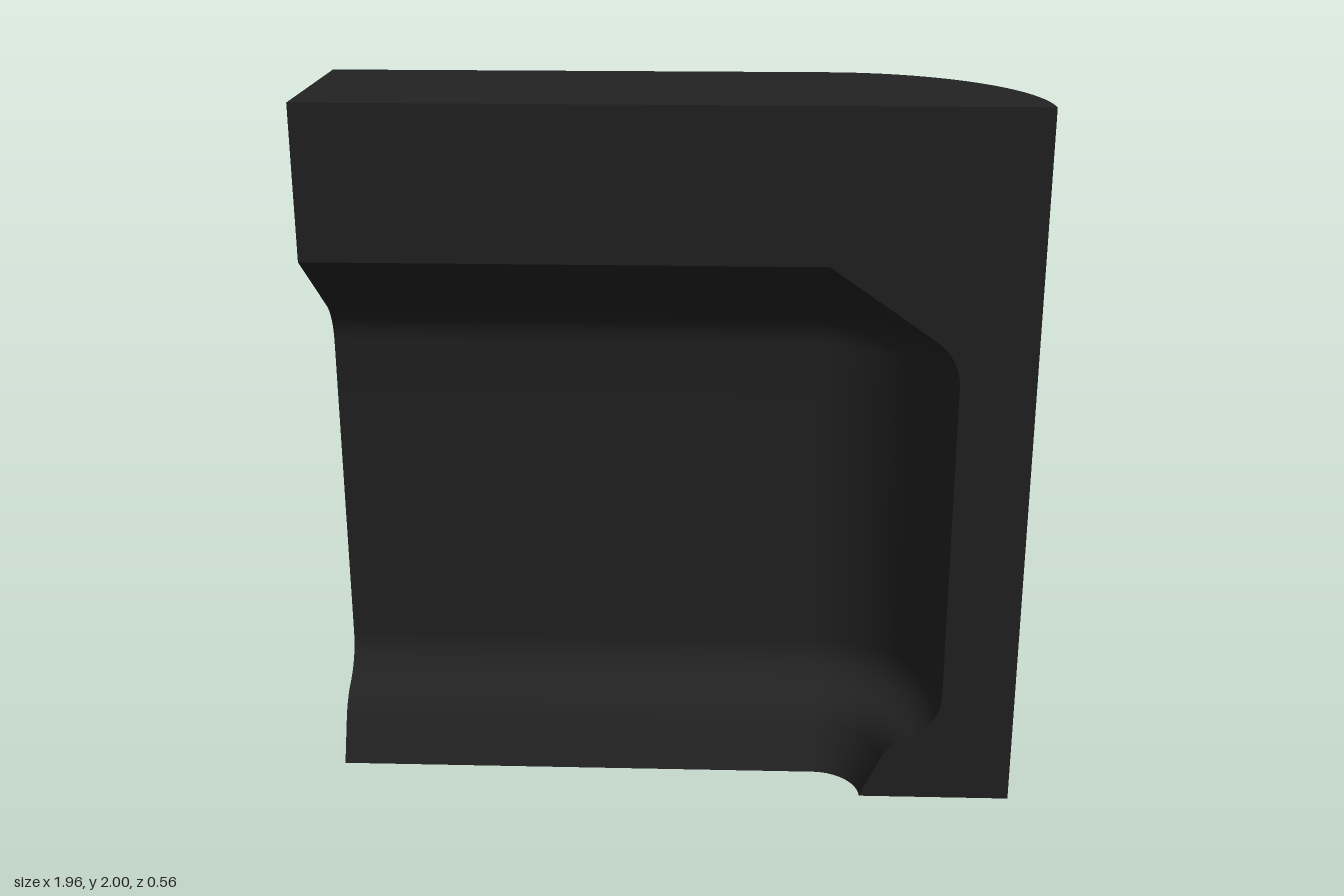
import * as THREE from 'three';
import { toCreasedNormals } from 'three/addons/utils/BufferGeometryUtils.js';

const LEFT = -0.98;   // x of the flat cut end
const AXIS_X = 0.42;  // vertical axis of the rounded corner
const FRONT = 0.28;   // z of the front face
const ARC_STEPS = 32;

// Cross-section: x is the depth behind the front face, y is the height
function profile() {
  const s = new THREE.Shape();
  s.moveTo(0, 2);
  s.lineTo(0, 1.58);
  s.lineTo(0.28, 1.385);                            // sloped underside of the top rail
  s.quadraticCurveTo(0.355, 1.335, 0.355, 1.25);    // cove into the panel
  s.lineTo(0.355, 0.33);
  s.quadraticCurveTo(0.355, 0.24, 0.27, 0.2);       // cove above the foot
  s.quadraticCurveTo(0.22, 0.18, 0.19, 0.13);       // rounded shoulder
  s.lineTo(0.13, 0);                                // splayed foot
  s.lineTo(0.56, 0);
  s.lineTo(0.56, 2);
  s.closePath();
  return s;
}

// Sweep the section along one straight run, then a quarter turn about the axis
function sweep() {
  const steps = ARC_STEPS + 1;
  const geo = new THREE.ExtrudeGeometry(profile(), {
    depth: steps, steps, bevelEnabled: false, curveSegments: 12,
  });
  const p = geo.attributes.position;
  for (let i = 0; i < p.count; i++) {
    const r = p.getX(i);
    const k = Math.round(p.getZ(i));
    const a = (Math.max(0, k - 1) / ARC_STEPS) * Math.PI / 2;
    const x = k === 0 ? LEFT : AXIS_X + r * Math.sin(a);
    p.setXYZ(i, x, p.getY(i), FRONT - r * Math.cos(a));
  }
  return toCreasedNormals(geo, 0.4);
}

export function createModel() {
  const group = new THREE.Group();
  group.name = 'mouldedWallCorner';
  const wall = new THREE.Mesh(sweep(), new THREE.MeshStandardMaterial({ color: 0x222222 }));
  wall.name = 'mouldedWall';
  group.add(wall);
  return group;
}
